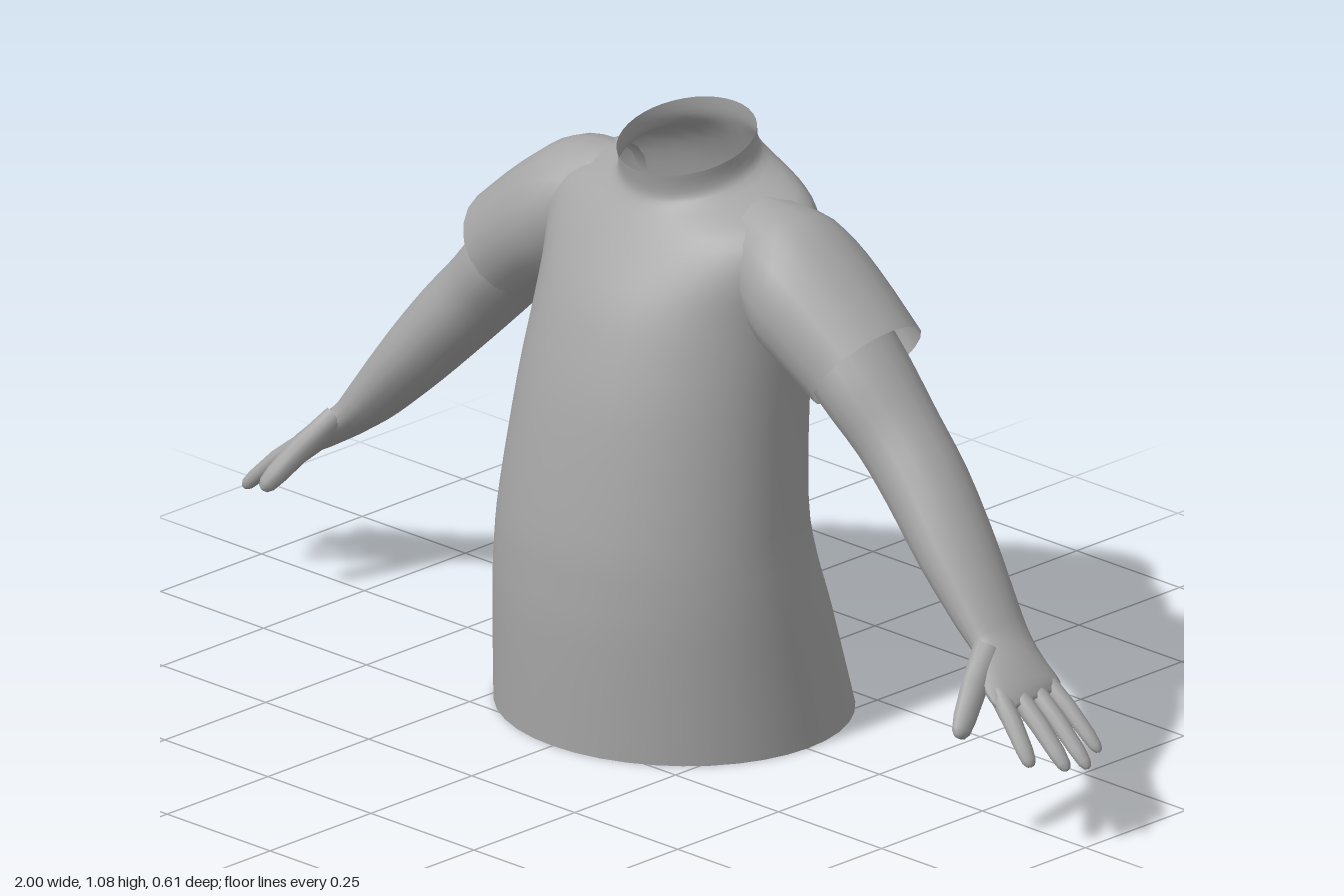
import * as THREE from 'three';

const V = (x, y, z) => new THREE.Vector3(x, y, z);
const grey = new THREE.MeshStandardMaterial({ color: 0xa6a6a6, side: THREE.DoubleSide });
grey.name = 'plain grey';

// Catmull-Rom refinement of rows of numbers
function refine(rows, n) {
  const out = [];
  const at = i => rows[Math.max(0, Math.min(rows.length - 1, i))];
  for (let i = 0; i < rows.length - 1; i++) {
    for (let k = 0; k < n; k++) {
      const t = k / n;
      out.push(at(i).map((b, c) => {
        const a = at(i - 1)[c], d = at(i + 1)[c], e = at(i + 2)[c];
        return b + 0.5 * t * (d - a + t * (2 * a - 5 * b + 4 * d - e + t * (3 * (b - d) + e - a)));
      }));
    }
  }
  out.push(rows[rows.length - 1]);
  return out;
}

// Skin through rings { c, u, v }; side = -1 mirrors in x; cap closes the far end
function loft(name, rings, sides, side = 1, cap = false) {
  const pos = [], idx = [];
  const tri = (a, b, c) => (side > 0 ? idx.push(a, b, c) : idx.push(a, c, b));
  rings.forEach(({ c, u, v }, i) => {
    for (let j = 0; j < sides; j++) {
      const a = (j / sides) * Math.PI * 2;
      const p = c.clone().addScaledVector(u, Math.cos(a)).addScaledVector(v, Math.sin(a));
      pos.push(p.x * side, p.y, p.z);
      if (i === rings.length - 1) continue;
      const k = i * sides + j, l = i * sides + (j + 1) % sides;
      tri(k, l, l + sides);
      tri(k, l + sides, k + sides);
    }
  });
  if (cap) {
    const last = rings.length - 1, c = rings[last].c;
    pos.push(c.x * side, c.y, c.z);
    for (let j = 0; j < sides; j++) {
      tri(last * sides + j, last * sides + (j + 1) % sides, rings.length * sides);
    }
  }
  const g = new THREE.BufferGeometry();
  g.setAttribute('position', new THREE.Float32BufferAttribute(pos, 3));
  g.setIndex(idx);
  g.computeVertexNormals();
  const m = new THREE.Mesh(g, grey);
  m.name = name;
  return m;
}

// Rings across a path of [x, y, z, thickness radius, width radius]
function limbRings(rows) {
  return rows.map((r, i) => {
    const a = rows[Math.max(0, i - 1)], b = rows[Math.min(rows.length - 1, i + 1)];
    const d = V(b[0] - a[0], b[1] - a[1], b[2] - a[2]).normalize();
    const u = V(0, 0, 1).cross(d).normalize();
    const v = d.clone().cross(u);
    return { c: V(r[0], r[1], r[2]), u: u.multiplyScalar(r[3]), v: v.multiplyScalar(r[4]) };
  });
}

// Tapered round-ended finger between two points
function finger(name, a, b, r, side) {
  const rows = [[0, 1.1], [0.45, 1.05], [0.8, 0.92], [0.93, 0.75], [0.985, 0.45], [1, 0.1]].map(([t, s]) => {
    const p = V(...a).lerp(V(...b), t);
    p.y += 0.006 * Math.sin(t * Math.PI);
    return [p.x, p.y, p.z, r * s * 0.85, r * s];
  });
  return loft(name, limbRings(rows), 10, side, true);
}

export function createModel() {
  const model = new THREE.Group();
  model.name = 'shirtTorso';

  // Torso and collar: front y, back y, half width, front z, back z
  const body = refine([
    [0, 0, 0.325, 0.3, -0.305],
    [0.2, 0.2, 0.31, 0.306, -0.247],
    [0.3, 0.3, 0.3, 0.303, -0.214],
    [0.4, 0.4, 0.288, 0.295, -0.2],
    [0.6, 0.6, 0.27, 0.26, -0.213],
    [0.72, 0.72, 0.265, 0.225, -0.234],
    [0.8, 0.8, 0.268, 0.192, -0.235],
    [0.87, 0.91, 0.28, 0.148, -0.212],
    [0.92, 0.975, 0.255, 0.112, -0.187],
    [0.953, 1.02, 0.15, 0.087, -0.166],
    [0.975, 1.045, 0.126, 0.08, -0.156],
    [1.01, 1.075, 0.125, 0.086, -0.152],
  ], 3).map(([yf, yb, w, zf, zb]) => ({
    c: V(0, (yf + yb) / 2, (zf + zb) / 2),
    u: V(0, (yf - yb) / 2, (zf - zb) / 2),
    v: V(w, 0, 0),
  }));
  model.add(loft('torso', body, 40));

  // Flat underside
  const base = new THREE.Mesh(new THREE.CircleGeometry(1, 40).rotateX(Math.PI / 2).scale(0.325, 1, 0.3025), grey);
  base.position.z = -0.0025;
  base.name = 'underside';
  model.add(base);

  for (const side of [1, -1]) {
    const arm = new THREE.Group();
    arm.name = side > 0 ? 'leftArm' : 'rightArm';

    // Sleeve: top x, top y, bottom x, bottom y, front z, back z
    const sleeve = refine([
      [0.18, 0.978, 0.22, 0.74, 0.06, -0.14],
      [0.28, 0.966, 0.26, 0.71, 0.086, -0.165],
      [0.37, 0.91, 0.305, 0.685, 0.086, -0.168],
      [0.488, 0.81, 0.36, 0.645, 0.072, -0.165],
    ], 3).map(([tx, ty, bx, by, zf, zb]) => ({
      c: V((tx + bx) / 2, (ty + by) / 2, (zf + zb) / 2),
      u: V((tx - bx) / 2, (ty - by) / 2, 0),
      v: V(0, 0, (zf - zb) / 2),
    }));
    arm.add(loft('sleeve', sleeve, 20, side));

    // Arm running into a flat palm
    const limb = refine([
      [0.32, 0.8, -0.045, 0.085, 0.095],
      [0.42, 0.705, -0.042, 0.08, 0.095],
      [0.5, 0.622, -0.046, 0.074, 0.084],
      [0.575, 0.545, -0.042, 0.07, 0.082],
      [0.66, 0.45, -0.03, 0.06, 0.078],
      [0.74, 0.36, -0.02, 0.045, 0.067],
      [0.785, 0.315, -0.014, 0.034, 0.062],
      [0.825, 0.282, 0, 0.028, 0.076],
      [0.86, 0.254, 0.006, 0.021, 0.081],
      [0.878, 0.24, 0.006, 0.011, 0.072],
    ], 3);
    arm.add(loft('armAndPalm', limbRings(limb), 18, side, true));

    // Four fingers and the thumb
    [
      ['indexFinger', [0.845, 0.265, 0.06], [0.955, 0.162, 0.088], 0.018],
      ['middleFinger', [0.855, 0.258, 0.026], [0.99, 0.15, 0.034], 0.018],
      ['ringFinger', [0.855, 0.258, -0.014], [1.0, 0.145, -0.008], 0.017],
      ['littleFinger', [0.845, 0.265, -0.05], [0.98, 0.157, -0.056], 0.016],
      ['thumb', [0.79, 0.32, 0.03], [0.846, 0.205, 0.156], 0.024],
    ].forEach(([name, a, b, r]) => arm.add(finger(name, a, b, r, side)));
    model.add(arm);
  }
  return model;
}
